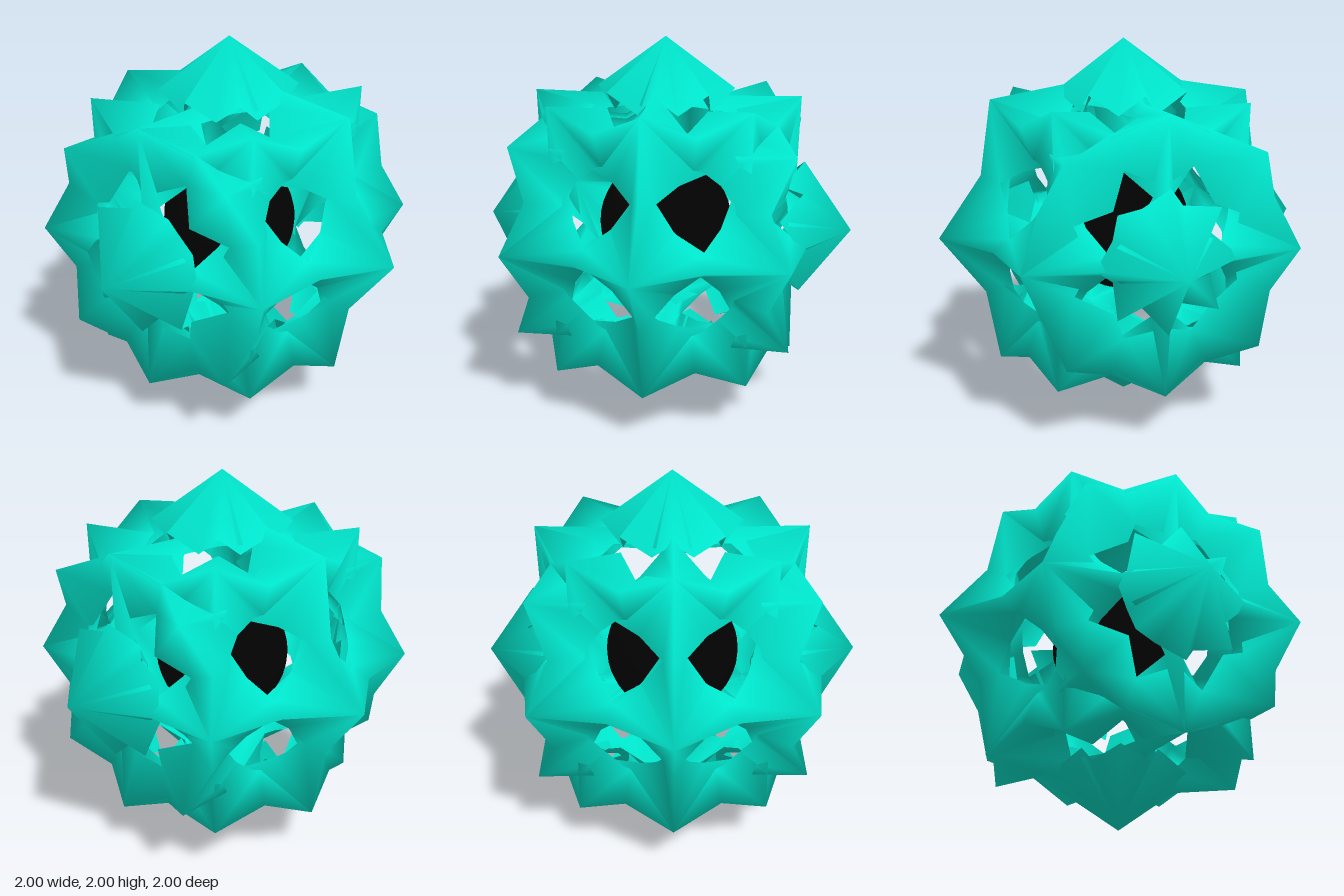
import * as THREE from 'three';
import { mergeVertices } from 'three/addons/utils/BufferGeometryUtils.js';

const teal = new THREE.MeshStandardMaterial({ color: 0x00e5cc, side: THREE.DoubleSide });
const black = new THREE.MeshStandardMaterial({ color: 0x020202 });

// point at an azimuth (in steps of 22.5 degrees), ring radius and height
const at = (step, r, y) =>
  new THREE.Vector3(r * Math.sin(step * Math.PI / 8), y, r * Math.cos(step * Math.PI / 8));

// smooth surface from quads or triangles, turned so each face looks outward
function surface(name, faces) {
  const pos = [];
  const add = (a, b, c) => {
    const n = b.clone().sub(a).cross(c.clone().sub(a));
    const out = n.dot(a.clone().add(b).add(c)) >= 0;
    for (const p of out ? [a, b, c] : [a, c, b]) pos.push(p.x, p.y, p.z);
  };
  for (const f of faces) {
    add(f[0], f[1], f[2]);
    if (f[3]) add(f[0], f[2], f[3]);
  }
  let geo = new THREE.BufferGeometry();
  geo.setAttribute('position', new THREE.Float32BufferAttribute(pos, 3));
  geo = mergeVertices(geo, 1e-4);
  geo.computeVertexNormals();
  const mesh = new THREE.Mesh(geo, teal);
  mesh.name = name;
  return mesh;
}

// pointed star cap on a pole, with deep valleys between its eight points
function starCap(s) {
  const faces = [];
  const rim = (i) => (i % 2 ? at(i, 0.27, 0.63 * s) : at(i, 0.365, 0.74 * s));
  for (let i = 0; i < 16; i++) {
    faces.push([new THREE.Vector3(0, s, 0), rim(i), rim((i + 1) % 16)]);
  }
  return surface('starCap', faces);
}

// octagonal collar around a cap, with a zigzag inner rim
function collarFaces(s) {
  const faces = [];
  const outer = (i) => (i % 2 ? at(i, 0.653, 0.6 * s) : at(i, Math.SQRT1_2, Math.SQRT1_2 * s));
  const inner = (i) => (i % 2 ? at(i, 0.46, 0.58 * s) : at(i, 0.36, 0.66 * s));
  for (let i = 0; i < 16; i++) {
    const j = (i + 1) % 16;
    faces.push(i % 2
      ? [outer(j), inner(j), inner(i), outer(i)]
      : [outer(i), outer(j), inner(j), inner(i)]);
  }
  return faces;
}

// half belt of spiked panels, each with a sunken opening in the middle
function beltFaces(s) {
  const faces = [];
  const h = Math.SQRT1_2;
  for (let k = 0; k < 16; k += 2) {
    const corners = [at(k, 1, 0), at(k + 2, 1, 0), at(k + 2, h, h * s), at(k, h, h * s)];
    const mids = [
      at(k + 1, 0.834, 0), at(k + 2, 0.7, 0.32 * s),
      at(k + 1, 0.653, 0.6 * s), at(k, 0.7, 0.32 * s),
    ];
    const holeCorners = [
      at(k + 0.57, 0.68, 0.16 * s), at(k + 1.43, 0.68, 0.16 * s),
      at(k + 1.2, 0.58, 0.42 * s), at(k + 0.8, 0.58, 0.42 * s),
    ];
    const holeMids = [
      at(k + 1, 0.735, 0.05 * s), at(k + 1.8, 0.63, 0.3 * s),
      at(k + 1, 0.58, 0.43 * s), at(k + 0.2, 0.63, 0.3 * s),
    ];
    for (let i = 0; i < 4; i++) {
      const p = (i + 3) % 4;
      faces.push([corners[i], mids[i], holeMids[i], holeCorners[i]]);
      faces.push([corners[i], holeCorners[i], holeMids[p], mids[p]]);
    }
  }
  return faces;
}

function shell(name) {
  const g = new THREE.Group();
  g.name = name;
  const faces = [1, -1].flatMap((s) => [...beltFaces(s), ...collarFaces(s)]);
  g.add(surface('spikedLattice', faces), starCap(1), starCap(-1));
  return g;
}

export function createModel() {
  const model = new THREE.Group();
  model.name = 'spikedLatticeBall';

  // two equal shells, one upright and one lying on its side
  const upright = shell('uprightShell');
  const sideways = shell('sidewaysShell');
  sideways.rotation.z = Math.PI / 2;

  const core = new THREE.Mesh(new THREE.SphereGeometry(0.36, 32, 20), black);
  core.name = 'core';

  const ball = new THREE.Group();
  ball.name = 'ball';
  ball.position.y = 1;
  ball.add(upright, sideways, core);
  model.add(ball);
  return model;
}
